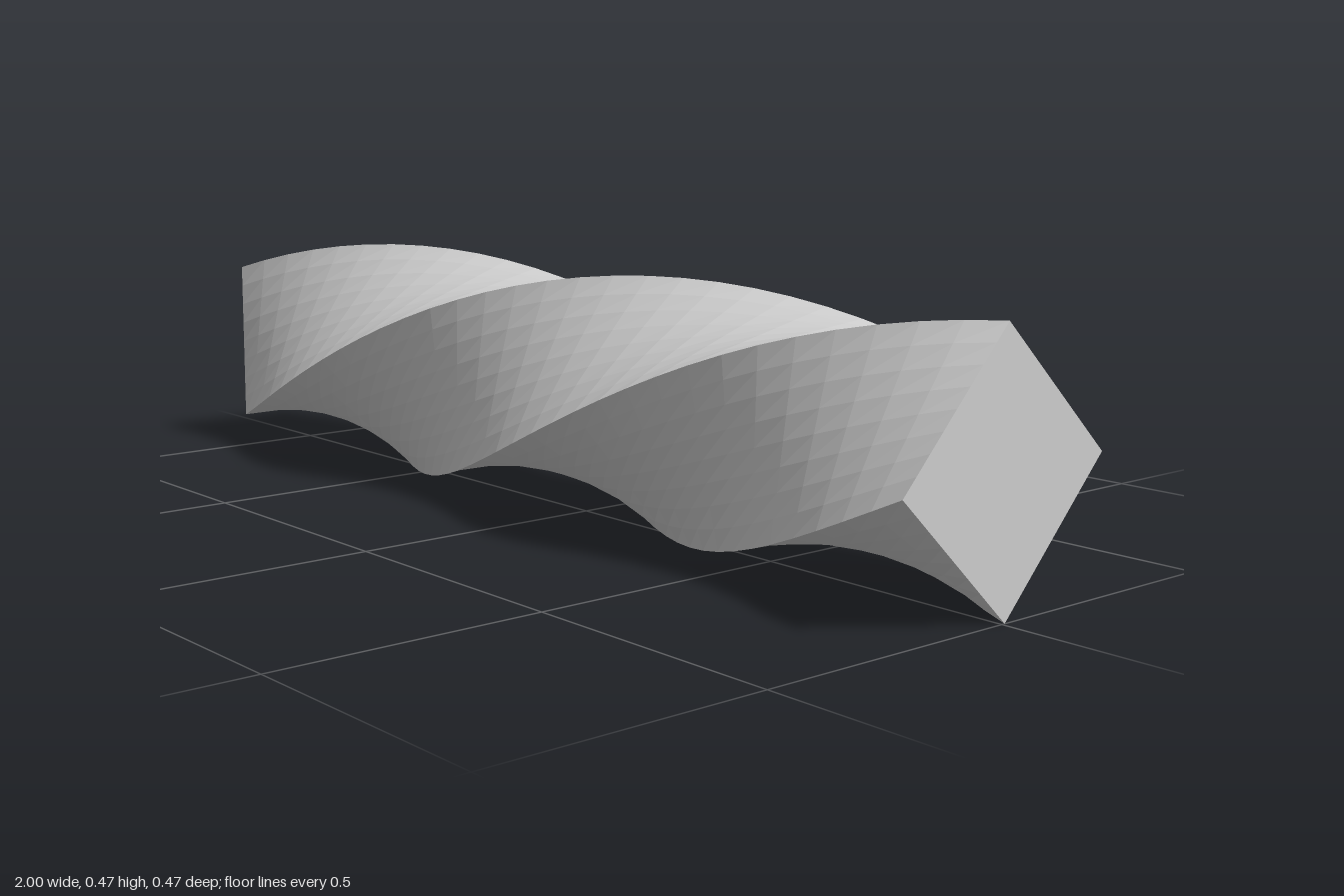
import * as THREE from 'three';

const LENGTH = 2;
const RADIUS = 0.234; // centre to corner
const TWIST = THREE.MathUtils.degToRad(223.4);

export function createModel() {
  const group = new THREE.Group();
  group.name = 'twistedBar';

  // Square bar along x, subdivided so that it can twist
  const side = RADIUS * Math.SQRT2;
  const box = new THREE.BoxGeometry(LENGTH, side, side, 32, 8, 8);

  // Turn each cross-section about the x axis, from none at -x to the full twist at +x
  const axis = new THREE.Vector3(1, 0, 0);
  const pos = box.attributes.position;
  const p = new THREE.Vector3();
  for (let i = 0; i < pos.count; i++) {
    p.fromBufferAttribute(pos, i);
    p.applyAxisAngle(axis, -TWIST * (p.x / LENGTH + 0.5));
    pos.setXYZ(i, p.x, p.y, p.z);
  }

  // Flat facets
  const geometry = box.toNonIndexed();
  geometry.computeVertexNormals();

  const bar = new THREE.Mesh(
    geometry,
    new THREE.MeshStandardMaterial({ color: 0xcccccc, flatShading: true })
  );
  bar.name = 'bar';
  bar.position.y = RADIUS;
  group.add(bar);
  return group;
}
